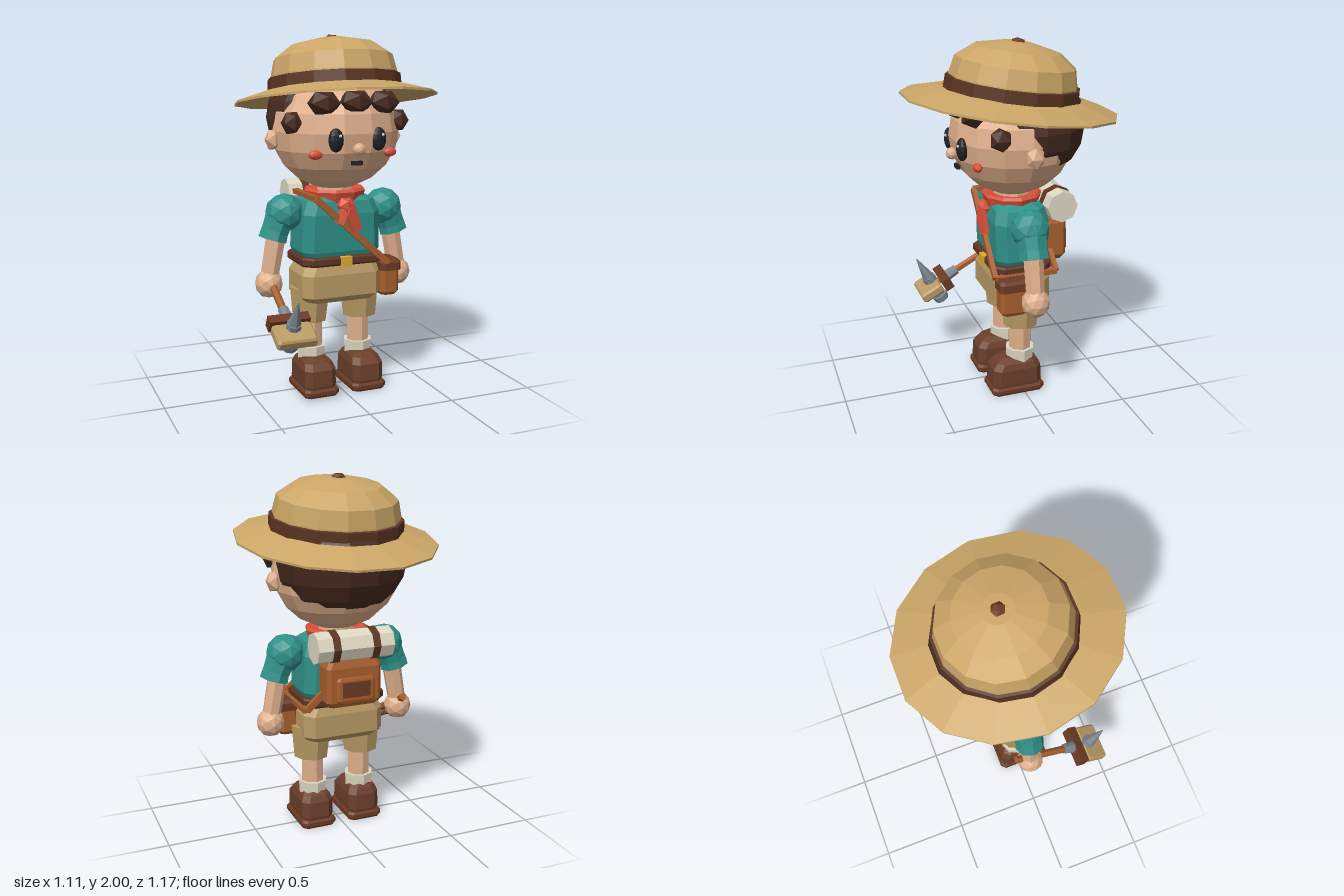
import * as THREE from 'three';

const C = {
  skin: 0xe0b08c, hat: 0xcaa566, band: 0x5a3421, hair: 0x462a1f, teal: 0x2f9189, shorts: 0xb99b65,
  belt: 0x5e3522, leather: 0xa85e2d, lid: 0x6b3b24, roll: 0xded7c2, shoe: 0x6b3f2a, metal: 0x7d8792,
  eye: 0x1f2226, red: 0xd9513b, gold: 0xe0ab2c, white: 0xf0f0f0,
};
const V = (p) => new THREE.Vector3(...p);
const UP = new THREE.Vector3(0, 1, 0);

function add(parent, name, geo, color, pos = [0, 0, 0], scale = [1, 1, 1]) {
  const mat = new THREE.MeshStandardMaterial({ color, flatShading: true, side: THREE.DoubleSide });
  const m = new THREE.Mesh(geo, mat);
  m.name = name;
  m.position.set(...pos);
  m.scale.set(...scale);
  parent.add(m);
  return m;
}
const box = (p, name, size, color, pos) => add(p, name, new THREE.BoxGeometry(...size), color, pos);
const blob = (p, name, r, detail, color, pos, scale) =>
  add(p, name, new THREE.IcosahedronGeometry(r, detail), color, pos, scale);
const cyl = (p, name, rTop, rBot, h, sides, color, pos) =>
  add(p, name, new THREE.CylinderGeometry(rTop, rBot, h, sides), color, pos);
const lathe = (p, name, pts, sides, color, scale) =>
  add(p, name, new THREE.LatheGeometry(pts.map((q) => new THREE.Vector2(...q)), sides, Math.PI / 2), color, [0, 0, 0], scale);

// Places a part built along y between two points
function span(mesh, a, b) {
  mesh.position.copy(V(a).add(V(b)).multiplyScalar(0.5));
  mesh.quaternion.setFromUnitVectors(UP, V(b).sub(V(a)).normalize());
  return mesh;
}
const dist = (a, b) => V(a).distanceTo(V(b));
const limb = (p, name, a, b, rA, rB, sides, color) => span(cyl(p, name, rB, rA, dist(a, b), sides, color), a, b);
const bar = (p, name, a, b, w, d, color) => span(box(p, name, [w, dist(a, b), d], color), a, b);

// Solid with chamfered corners from rings of [y, half width, half depth, z offset]
function loft(rings, c) {
  const pos = [], idx = [];
  for (const [y, w, d, z = 0] of rings) {
    const half = [[w - c, d], [w, d - c], [w, c - d], [w - c, -d]];
    const loop = [...half, ...half.map(([x, q]) => [-x, -q])];
    for (const [x, q] of loop) pos.push(x, y, q + z);
  }
  const top = (rings.length - 1) * 8;
  for (let j = 0; j < top; j += 8)
    for (let i = 0; i < 8; i++) {
      const k = (i + 1) % 8;
      idx.push(j + i, j + k, j + 8 + k, j + i, j + 8 + k, j + 8 + i);
    }
  for (let i = 1; i < 7; i++) idx.push(0, i + 1, i, top, top + i, top + i + 1);
  const g = new THREE.BufferGeometry();
  g.setAttribute('position', new THREE.Float32BufferAttribute(pos, 3));
  g.setIndex(idx);
  g.computeVertexNormals();
  return g;
}

function group(parent, name) {
  const g = new THREE.Group();
  g.name = name;
  parent.add(g);
  return g;
}

function buildHead(root) {
  const head = group(root, 'head');
  add(head, 'face', new THREE.SphereGeometry(1, 14, 10), C.skin, [0, 1.485, 0], [0.36, 0.33, 0.345]);
  add(head, 'hair', new THREE.SphereGeometry(1, 14, 10), C.hair, [0, 1.55, -0.07], [0.365, 0.315, 0.335]);
  blob(head, 'middleCurl', 0.09, 0, C.hair, [0, 1.65, 0.29], [1.1, 0.75, 0.8]);
  blob(head, 'nose', 0.034, 1, C.skin, [0, 1.405, 0.34]);
  box(head, 'mouth', [0.06, 0.022, 0.02], C.eye, [0, 1.33, 0.312]);
  for (const s of [-1, 1]) {
    blob(head, 'frontCurl', 0.085, 0, C.hair, [s * 0.17, 1.645, 0.27], [1.1, 0.8, 0.85]);
    blob(head, 'sideCurl', 0.066, 0, C.hair, [s * 0.31, 1.54, 0.165], [0.9, 1, 0.95]);
    blob(head, 'ear', 0.062, 0, C.skin, [s * 0.36, 1.44, -0.005], [0.75, 1, 0.85]);
    add(head, 'eye', new THREE.SphereGeometry(1, 12, 8), C.eye, [s * 0.122, 1.455, 0.318], [0.043, 0.063, 0.03]);
    blob(head, 'eyeGlint', 0.009, 1, C.white, [s * 0.122 + 0.014, 1.478, 0.343]);
    blob(head, 'cheek', 0.04, 1, C.red, [s * 0.215, 1.377, 0.262], [1, 0.65, 0.6]);
  }
}

function buildHat(root) {
  const hat = group(root, 'hat');
  hat.position.set(0, 1.7, 0);
  hat.rotation.x = -0.135;
  lathe(hat, 'brim', [[0.3, 0], [0.555, -0.055], [0.555, -0.043], [0.36, 0.015]], 14, C.hat, [1, 1, 1.085]);
  lathe(hat, 'hatBand', [[0.35, 0], [0.372, 0], [0.368, 0.075], [0.34, 0.08]], 14, C.band);
  lathe(hat, 'crown', [[0.355, 0.02], [0.352, 0.085], [0.33, 0.18], [0.235, 0.25], [0.08, 0.285], [0, 0.287]], 14, C.hat);
  blob(hat, 'hatButton', 0.042, 0, C.lid, [0, 0.283, 0.0], [1, 0.6, 1]);
}

function buildBody(root) {
  const body = group(root, 'body');
  add(body, 'shirt', loft([[0.76, 0.205, 0.13], [0.82, 0.232, 0.15], [1.03, 0.225, 0.155], [1.1, 0.2, 0.14], [1.14, 0.13, 0.1]], 0.05), C.teal);
  cyl(body, 'neck', 0.1, 0.11, 0.12, 8, C.skin, [0, 1.15, 0]);
  // Neckerchief
  lathe(body, 'scarf', [[0.1, 1.08], [0.155, 1.085], [0.178, 1.15], [0.165, 1.165], [0.09, 1.15]], 10, C.red, [1, 1, 0.95]);
  blob(body, 'scarfKnot', 0.05, 0, C.red, [0, 1.08, 0.165], [1.1, 1, 0.8]);
  bar(body, 'scarfTailLong', [0.01, 1.08, 0.185], [0.06, 0.94, 0.178], 0.065, 0.025, C.red);
  bar(body, 'scarfTailShort', [-0.005, 1.08, 0.185], [-0.045, 0.985, 0.175], 0.055, 0.025, C.red);
  // Belt and shorts
  add(body, 'belt', loft([[0.745, 0.235, 0.165], [0.755, 0.242, 0.172], [0.785, 0.242, 0.172], [0.795, 0.235, 0.165]], 0.05), C.belt);
  box(body, 'buckle', [0.066, 0.052, 0.03], C.gold, [0, 0.77, 0.17]);
  add(body, 'shortsSeat', loft([[0.53, 0.205, 0.13], [0.565, 0.238, 0.16], [0.69, 0.238, 0.16], [0.75, 0.205, 0.14]], 0.05), C.shorts);

  for (const s of [-1, 1]) {
    // Arms
    const arm = group(body, s > 0 ? 'leftArm' : 'rightArm');
    blob(arm, 'shoulder', 0.108, 1, C.teal, [s * 0.3, 1.035, 0]);
    limb(arm, 'sleeve', [s * 0.31, 1.05, 0], [s * 0.368, 0.9, 0], 0.09, 0.078, 8, C.teal);
    limb(arm, 'cuff', [s * 0.355, 0.94, 0], [s * 0.37, 0.89, 0], 0.08, 0.085, 8, C.teal);
    limb(arm, 'forearm', [s * 0.345, 0.93, 0], [s * 0.39, 0.68, 0], 0.056, 0.052, 7, C.skin);
    blob(arm, 'hand', 0.083, 1, C.skin, [s * 0.395, 0.642, 0], [0.95, 1, 0.95]);
    // Legs
    const leg = group(body, s > 0 ? 'leftLeg' : 'rightLeg');
    limb(leg, 'shortsLeg', [s * 0.155, 0.41, 0], [s * 0.15, 0.6, 0], 0.1, 0.12, 8, C.shorts);
    cyl(leg, 'shin', 0.066, 0.066, 0.27, 8, C.skin, [s * 0.145, 0.33, 0]);
    cyl(leg, 'sock', 0.085, 0.08, 0.075, 8, C.roll, [s * 0.145, 0.222, 0]);
    const shoe = loft([[0.03, 0.088, 0.14, 0.035], [0.06, 0.093, 0.147, 0.035], [0.15, 0.093, 0.142, 0.035], [0.185, 0.08, 0.12, 0.03], [0.208, 0.058, 0.09, 0.02]], 0.035);
    add(leg, 'shoe', shoe, C.shoe, [s * 0.145, 0, 0]);
    const sole = loft([[0, 0.097, 0.15, 0.035], [0.012, 0.103, 0.156, 0.035], [0.033, 0.103, 0.156, 0.035], [0.045, 0.095, 0.148, 0.035]], 0.025);
    add(leg, 'sole', sole, C.lid, [s * 0.145, 0, 0]);
  }
}

function buildGear(root) {
  // Backpack with pocket and bedroll
  const pack = group(root, 'backpack');
  add(pack, 'packBody', loft([[0.77, 0.14, 0.06], [0.8, 0.16, 0.075], [0.99, 0.16, 0.075], [1.03, 0.14, 0.06]], 0.02), C.leather, [0, 0, -0.2]);
  add(pack, 'packPocket', loft([[0.8, 0.1, 0.02], [0.815, 0.11, 0.025], [0.925, 0.11, 0.025], [0.94, 0.1, 0.02]], 0.012), C.leather, [0, 0, -0.272]);
  box(pack, 'pocketFlap', [0.16, 0.085, 0.012], C.lid, [0, 0.875, -0.296]);
  limb(pack, 'bedroll', [-0.22, 1.105, -0.222], [0.22, 1.105, -0.222], 0.088, 0.088, 8, C.roll);
  for (const s of [-1, 1])
    limb(pack, 'bedrollStrap', [s * 0.115 - 0.02, 1.105, -0.222], [s * 0.115 + 0.02, 1.105, -0.222], 0.094, 0.094, 8, C.belt);

  // Shoulder strap looping round to the hip pouch
  const bag = group(root, 'hipBag');
  const loop = [[-0.18, 1.13, 0.168], [0.245, 0.745, 0.178], [0.245, 0.745, -0.178], [-0.18, 1.13, -0.16]];
  loop.forEach((a, i) => bar(bag, 'shoulderStrap', a, loop[(i + 1) % 4], 0.036, 0.026, C.leather));
  add(bag, 'pouch', loft([[0.545, 0.045, 0.065], [0.565, 0.056, 0.08], [0.7, 0.056, 0.08]], 0.02), C.leather, [0.277, 0, 0.09]);
  add(bag, 'pouchLid', loft([[0.69, 0.062, 0.088], [0.735, 0.062, 0.088], [0.752, 0.05, 0.075]], 0.02), C.lid, [0.28, 0, 0.09]);

  // Hammer: handle along local z, metal head along local y
  const ham = group(root, 'hammer');
  ham.position.set(-0.39, 0.47, 0.372);
  ham.rotation.x = 0.49;
  limb(ham, 'handle', [0, 0, -0.52], [0, 0, 0], 0.022, 0.022, 6, C.leather);
  limb(ham, 'collar', [0, 0, -0.17], [0, 0, -0.1], 0.03, 0.036, 8, C.metal);
  box(ham, 'headBlock', [0.226, 0.07, 0.055], C.lid, [0, 0, -0.075]);
  add(ham, 'headPlate', loft([[-0.03, 0.1, 0.062], [-0.018, 0.11, 0.07], [0.018, 0.11, 0.07], [0.03, 0.1, 0.062]], 0.01), C.shorts, [0, 0, 0.03]);
  cyl(ham, 'spike', 0.003, 0.042, 0.17, 6, C.metal, [0, 0.12, 0]);
  cyl(ham, 'headCore', 0.04, 0.04, 0.12, 8, C.metal, [0, 0, 0]);
  cyl(ham, 'peenNeck', 0.03, 0.036, 0.05, 8, C.metal, [0, -0.065, 0]);
  cyl(ham, 'peen', 0.048, 0.044, 0.035, 8, C.metal, [0, -0.1, 0]);
}

export function createModel() {
  const root = new THREE.Group();
  root.name = 'explorer';
  buildHead(root);
  buildHat(root);
  buildBody(root);
  buildGear(root);
  return root;
}
